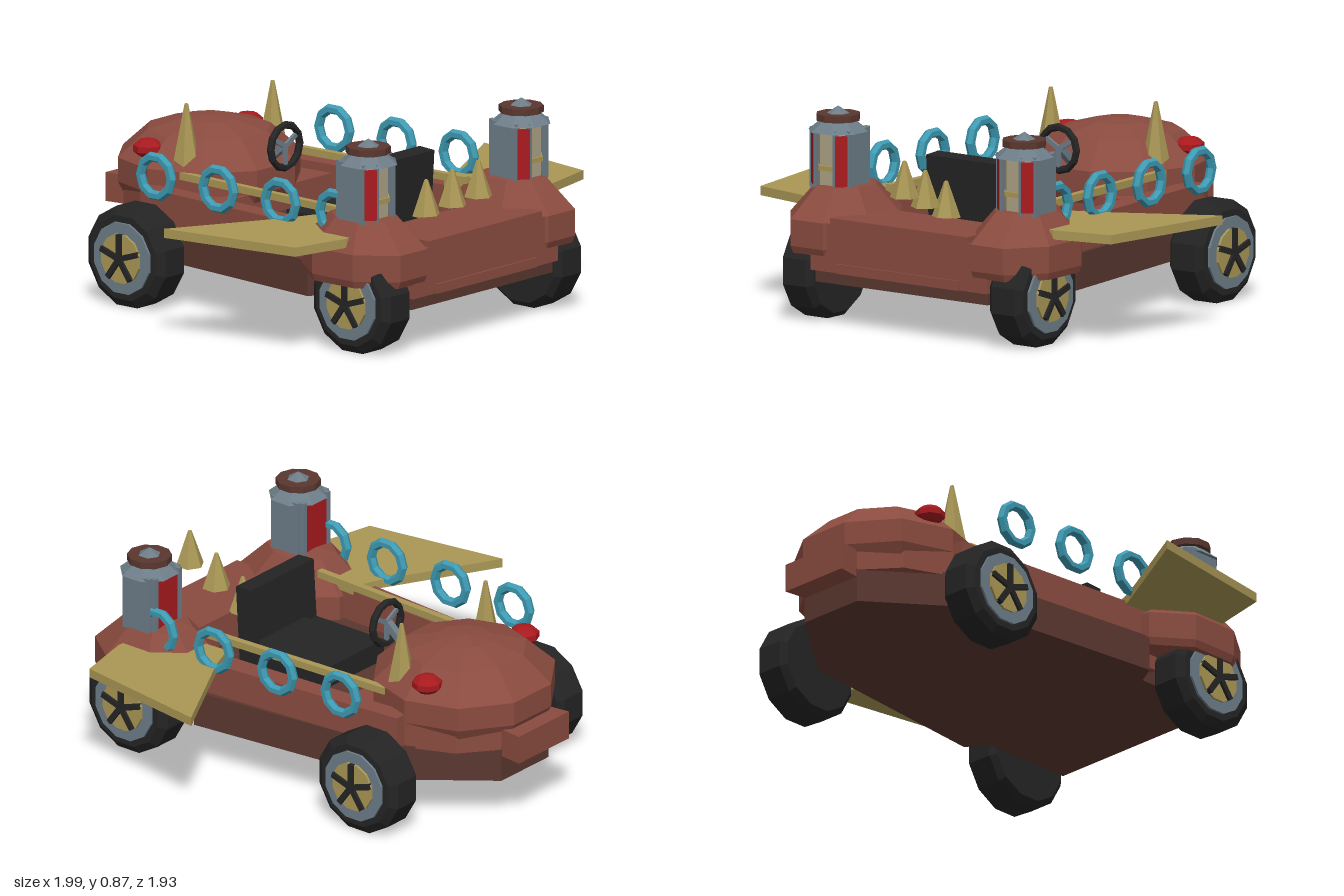
import * as THREE from 'three';

function mat(name, color) {
  const m = new THREE.MeshStandardMaterial({ color, flatShading: true });
  m.name = name;
  return m;
}

export function createModel() {
  const body = mat('russet body', 0x8a4b3f);
  const brown = mat('dark brown', 0x5a372f);
  const black = mat('black', 0x242424);
  const steel = mat('steel grey', 0x6d7d88);
  const gold = mat('old gold', 0xaa9755);
  const red = mat('red', 0xa81a1e);
  const cyan = mat('cyan', 0x3e9ab2);
  const beige = mat('beige', 0xaca183);

  const model = new THREE.Group();
  model.name = 'openRacer';

  function add(name, geo, material, x = 0, y = 0, z = 0, parent = model) {
    const m = new THREE.Mesh(geo, material);
    m.name = name;
    m.position.set(x, y, z);
    parent.add(m);
    return m;
  }
  const box = (w, h, d) => new THREE.BoxGeometry(w, h, d);
  // flat plate from a plan outline of [x, z] points, between two heights
  function slab(pts, y0, y1) {
    const s = new THREE.Shape(pts.map(([x, z]) => new THREE.Vector2(x, -z)));
    const g = new THREE.ExtrudeGeometry(s, { depth: y1 - y0, bevelEnabled: false });
    return g.rotateX(-Math.PI / 2).translate(0, y0, 0);
  }
  // plan outline mirrored across x = 0
  const mirrored = half => [...half, ...half.map(([x, z]) => [-x, z]).reverse()];
  // faceted dome: profile of [radius, height], flats facing front and back
  function dome(profile, n, rx, rz) {
    const k = 1 / Math.cos(Math.PI / n);
    const pts = profile.map(([r, y]) => new THREE.Vector2(r * k, y));
    return new THREE.LatheGeometry(pts, n, Math.PI / n).scale(rx, 1, rz);
  }
  const spike = (r, h) => new THREE.CylinderGeometry(0.008, r, h, 6).translate(0, h / 2, 0);

  // chassis, tapering to the nose
  add('chassis', slab(mirrored([[0.15, -0.86], [0.43, -0.5], [0.53, 0.45], [0.44, 0.5], [0.44, 0.93]]), 0.18, 0.33), brown);
  add('noseDeck', slab(mirrored([[0.15, -0.86], [0.3, -0.74], [0.4, -0.5], [0.38, -0.2]]), 0.32, 0.43), body);
  add('hood', dome([[0, 0.38], [0.93, 0.38], [1, 0.43], [1, 0.53], [0.68, 0.64], [0.3, 0.68], [0, 0.69]], 10, 0.365, 0.36), body, 0, 0, -0.54);
  add('frontBumper', slab([[-0.16, -0.96], [0.16, -0.96], [0.14, -0.8], [-0.14, -0.8]], 0.29, 0.41), body);

  // rear deck and lip
  add('rearDeck', box(0.7, 0.22, 0.3), body, 0, 0.345, 0.8);
  add('rearLip', box(0.62, 0.04, 0.32), body, 0, 0.25, 0.8);

  // seat
  const seat = new THREE.Group();
  seat.name = 'seat';
  model.add(seat);
  add('seatCushion', box(0.4, 0.1, 0.4), black, 0, 0.37, 0.25, seat);
  const back = new THREE.Group();
  back.name = 'seatBack';
  back.position.set(0, 0.49, 0.45);
  back.rotation.x = 0.06;
  seat.add(back);
  add('backPanel', box(0.36, 0.33, 0.05), black, 0, 0, 0.015, back);
  for (const s of [-1, 1]) {
    add('backFrameSide', box(0.04, 0.36, 0.08), black, s * 0.18, 0, 0, back);
    add('backFrameRail', box(0.4, 0.04, 0.08), black, 0, s * 0.16, 0, back);
  }
  add('backTrim', box(0.3, 0.015, 0.009), brown, 0, -0.12, -0.014, back);

  // steering wheel
  const steering = new THREE.Group();
  steering.name = 'steeringWheel';
  steering.position.set(0, 0.62, -0.13);
  model.add(steering);
  add('steeringRim', new THREE.TorusGeometry(0.09, 0.016, 6, 12), black, 0, 0, 0, steering);
  for (let i = 0; i < 3; i++) {
    const spoke = add('steeringSpoke', box(0.02, 0.09, 0.012).translate(0, -0.045, 0), steel, 0, 0, 0, steering);
    spoke.rotation.z = i * Math.PI * 2 / 3;
  }
  const column = add('steeringColumn', box(0.03, 0.03, 0.13), steel, 0, -0.04, -0.055, steering);
  column.rotation.x = -0.7;

  // row of tail spikes stepping upward
  [[0.63, 0.45], [0.77, 0.515], [0.91, 0.575]].forEach(([z, y]) =>
    add('tailSpike', spike(0.06, 0.15), gold, 0, y, z));

  function wheel(s, z) {
    const g = new THREE.Group();
    g.name = z < 0 ? 'frontWheel' : 'rearWheel';
    g.position.set(s * 0.535, 0.21, z);
    g.rotation.y = s > 0 ? 0 : Math.PI;
    model.add(g);
    const disc = (r, w) => new THREE.CylinderGeometry(r, r, w, 12, 1, false, Math.PI / 12).rotateZ(-Math.PI / 2);
    const tyre = [[0, -0.085], [0.19, -0.085], [0.214, -0.06], [0.214, 0.055], [0.18, 0.08], [0, 0.08]]
      .map(p => new THREE.Vector2(...p));
    add('tyre', new THREE.LatheGeometry(tyre, 12, Math.PI / 12).rotateZ(-Math.PI / 2), black, 0, 0, 0, g);
    add('rim', disc(0.152, 0.06), steel, 0.06, 0, 0, g);
    add('hubDisc', disc(0.105, 0.02), gold, 0.09, 0, 0, g);
    for (let i = 0; i < 5; i++) {
      const spoke = add('wheelSpoke', box(0.02, 0.105, 0.024).translate(0, 0.05, 0), black, 0.102, 0, 0, g);
      spoke.rotation.x = i * Math.PI * 2 / 5;
    }
  }

  function lantern(s) {
    const g = new THREE.Group();
    g.name = 'lantern';
    g.position.set(s * 0.475, 0, 0.73);
    model.add(g);
    add('lanternCore', new THREE.CylinderGeometry(0.085, 0.085, 0.24, 8, 1, false, Math.PI / 8), beige, 0, 0.66, 0, g);
    add('redBackPanel', box(0.13, 0.21, 0.02), red, 0, 0.66, -0.085, g);
    for (const t of [-1, 1]) {
      add('sidePlate', box(0.02, 0.25, 0.14), steel, t * 0.09, 0.66, -0.01, g);
      const pane = add('redPane', box(0.055, 0.21, 0.008), red, t * 0.073, 0.66, 0.074, g);
      pane.rotation.y = t * Math.PI / 4;
      add('frontPost', box(0.014, 0.25, 0.02), steel, t * 0.05, 0.66, 0.085, g);
      add('rearPost', box(0.02, 0.25, 0.025), steel, t * 0.075, 0.66, -0.088, g);
    }
    add('goldBand', new THREE.CylinderGeometry(0.094, 0.094, 0.02, 8, 1, false, Math.PI / 8), gold, 0, 0.625, 0, g);
    add('eaves', new THREE.CylinderGeometry(0.07, 0.125, 0.045, 8, 1, false, Math.PI / 8), steel, 0, 0.795, 0, g);
    add('cap', new THREE.CylinderGeometry(0.092, 0.092, 0.028, 10), brown, 0, 0.83, 0, g);
    add('finial', new THREE.ConeGeometry(0.05, 0.032, 6), steel, 0, 0.858, 0, g);
  }

  for (const s of [-1, 1]) {
    wheel(s, -0.47);
    wheel(s, 0.745);
    lantern(s);

    // cockpit walls and gold handrails
    add('sideWall', slab([[s * 0.43, -0.54], [s * 0.51, 0.5], [s * 0.41, 0.5], [s * 0.35, -0.54]], 0.33, 0.465), body);
    add('handrail', slab([[s * 0.345, -0.4], [s * 0.385, 0.53], [s * 0.355, 0.53], [s * 0.315, -0.4]], 0.5, 0.53), gold);

    // rear fender pod
    add('rearFender', dome([[0, 0.29], [0.95, 0.29], [1, 0.32], [1, 0.43], [0.55, 0.55], [0, 0.57]], 8, 0.2, 0.265), body, s * 0.46, 0, 0.697);
    add('fenderFoot', box(0.14, 0.2, 0.1), body, s * 0.38, 0.33, 0.9);
    add('innerArch', box(0.1, 0.14, 0.1), body, s * 0.42, 0.3, 0.5);

    // swept side fin
    add('sideFin', slab([[0.995, 0.08], [0.895, 0.7], [0.64, 0.755], [0.42, 0.72], [0.4, 0.38], [0.53, 0.33]]
      .map(([x, z]) => [s * x, z]), 0.45, 0.488), gold);

    // floating rings along the side
    for (const z of [0.66, 0.325, -0.01, -0.345]) {
      const ring = z > 0.6 ? 0.62 : z;
      add('sideRing', new THREE.TorusGeometry(0.083, 0.021, 6, 10).rotateY(Math.PI / 2), cyan, s * 0.553, 0.56, ring);
    }

    // hood horns and lamps
    add('hoodHorn', spike(0.062, 0.27), gold, s * 0.268, 0.53, -0.43);
    add('hoodLamp', new THREE.SphereGeometry(0.065, 8, 5).scale(1, 0.62, 1), red, s * 0.31, 0.597, -0.6);
  }
  return model;
}
